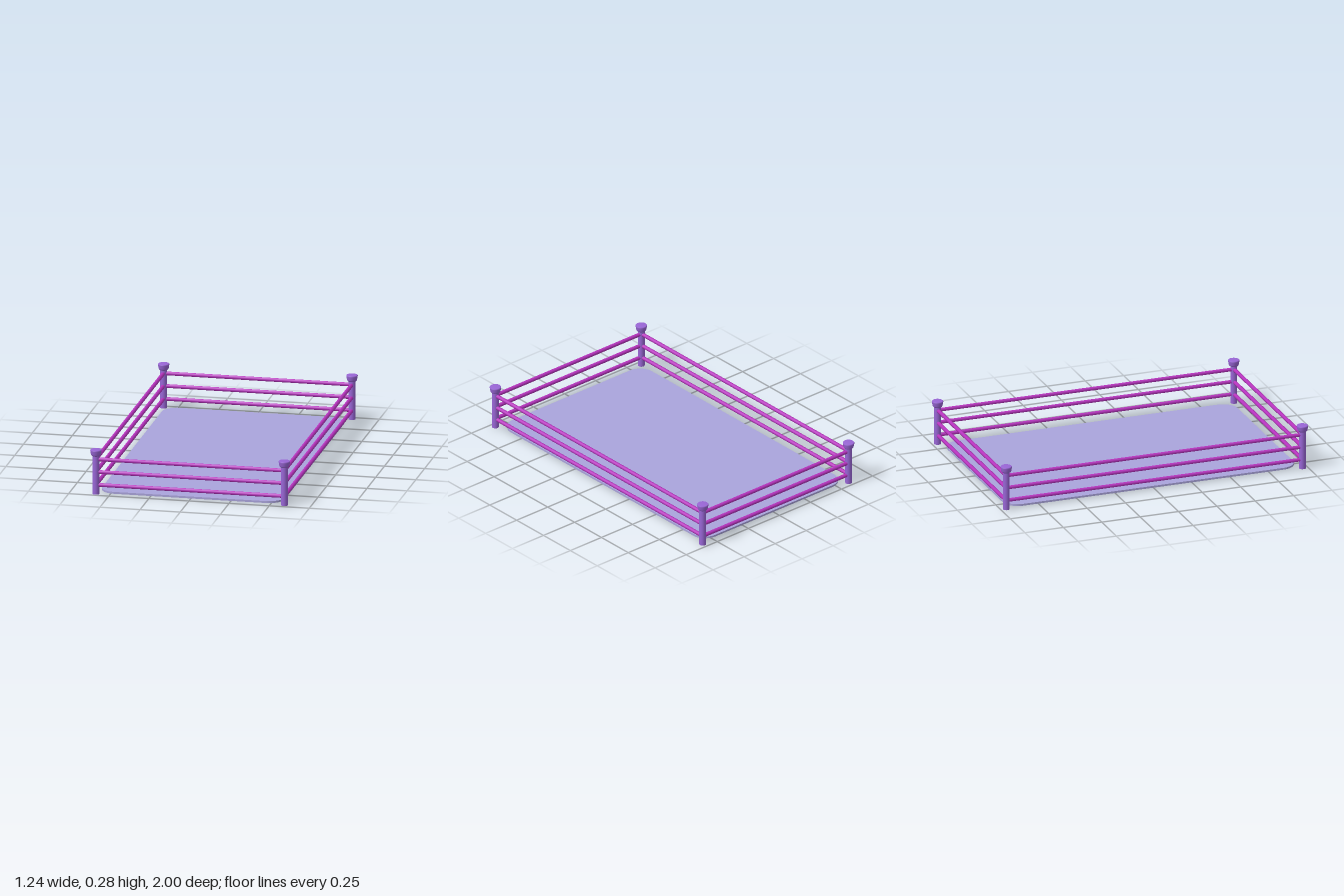
import * as THREE from 'three';

const POST_X = 0.587, POST_Z = 0.965;
const paint = (color) => new THREE.MeshStandardMaterial({ color });

export function createModel() {
  const model = new THREE.Group();
  model.name = 'ropedRing';
  const postMat = paint(0x9966d6), railMat = paint(0xb834c0), matMat = paint(0xaaa4dc);

  const add = (parent, name, geometry, material, x = 0, y = 0, z = 0) => {
    const mesh = new THREE.Mesh(geometry, material);
    mesh.name = name;
    mesh.position.set(x, y, z);
    parent.add(mesh);
    return mesh;
  };

  // Thin floor mat with rounded corners
  const w = 0.567, d = 0.944, r = 0.095;
  const outline = new THREE.Shape();
  outline.moveTo(w, -d + r);
  outline.absarc(w - r, d - r, r, 0, Math.PI / 2);
  outline.absarc(-w + r, d - r, r, Math.PI / 2, Math.PI);
  outline.absarc(-w + r, -d + r, r, Math.PI, Math.PI * 1.5);
  outline.absarc(w - r, -d + r, r, Math.PI * 1.5, Math.PI * 2);
  const floor = new THREE.ExtrudeGeometry(outline, { depth: 0.012, bevelEnabled: false, curveSegments: 10 });
  floor.rotateX(-Math.PI / 2);
  add(model, 'floorMat', floor, matMat, -0.005, 0, 0);

  // Corner posts with flared caps
  const postGeo = new THREE.CylinderGeometry(0.021, 0.021, 0.245, 20);
  const capGeo = new THREE.LatheGeometry([
    [0, 0.236], [0.017, 0.236], [0.021, 0.24], [0.028, 0.245], [0.031, 0.251],
    [0.035, 0.273], [0.035, 0.278], [0.032, 0.281], [0, 0.281],
  ].map(([x, y]) => new THREE.Vector2(x, y)), 24);
  for (const sx of [-1, 1]) {
    for (const sz of [-1, 1]) {
      const post = new THREE.Group();
      post.name = 'cornerPost';
      post.position.set(sx * POST_X, 0, sz * POST_Z);
      add(post, 'post', postGeo, postMat, 0, 0.1225, 0);
      add(post, 'postCap', capGeo, postMat);
      model.add(post);
    }
  }

  // Three rails on each side, running between the posts
  const endRail = new THREE.CylinderGeometry(0.012, 0.012, POST_X * 2, 8).rotateZ(Math.PI / 2);
  const sideRail = new THREE.CylinderGeometry(0.012, 0.012, POST_Z * 2, 8).rotateX(Math.PI / 2);
  for (const y of [0.057, 0.139, 0.219]) {
    for (const s of [-1, 1]) {
      add(model, s > 0 ? 'frontRail' : 'backRail', endRail, railMat, 0, y, s * POST_Z);
      add(model, s > 0 ? 'leftRail' : 'rightRail', sideRail, railMat, s * POST_X, y, 0);
    }
  }
  return model;
}
